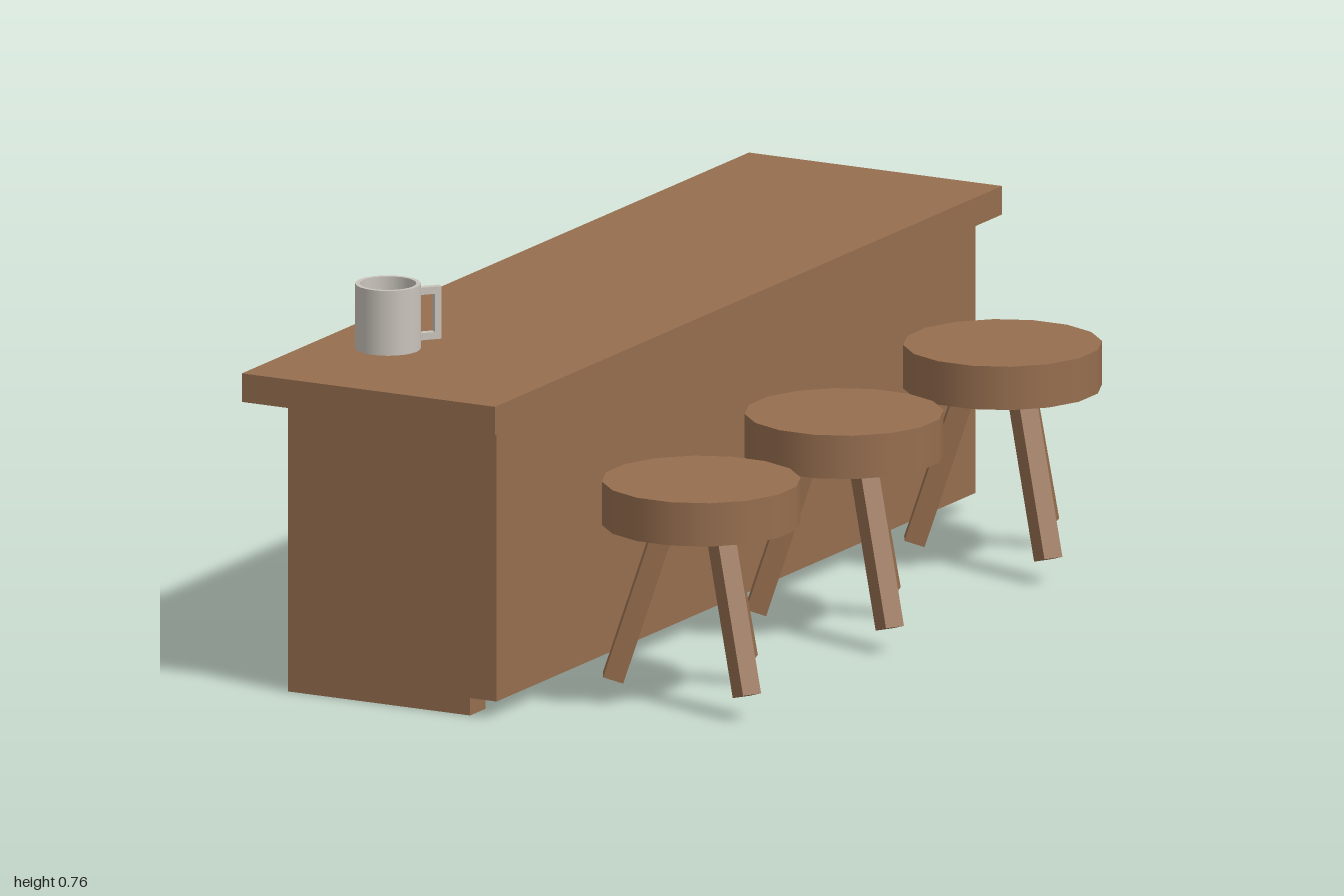
import * as THREE from 'three';

const wood = new THREE.MeshStandardMaterial({ color: 0x966e4f });
wood.name = 'wood';
const ceramic = new THREE.MeshStandardMaterial({ color: 0xc9c3bb });
ceramic.name = 'ceramic';

// Box given by its minimum and maximum corners
function box(name, min, max, material) {
  const size = max.map((v, i) => v - min[i]);
  const mesh = new THREE.Mesh(new THREE.BoxGeometry(...size), material);
  mesh.position.set(...max.map((v, i) => (v + min[i]) / 2));
  mesh.name = name;
  return mesh;
}

// Round seat on three splayed square legs
function makeStool(x, z) {
  const stool = new THREE.Group();
  stool.name = 'stool';
  const seat = new THREE.Mesh(new THREE.CylinderGeometry(0.19, 0.19, 0.085, 16), wood);
  seat.name = 'seat';
  seat.position.y = 0.393;
  seat.rotation.y = Math.PI / 16;
  stool.add(seat);

  const topR = 0.064, footR = 0.168, topY = 0.365, footY = 0.047;
  const length = Math.hypot(footR - topR, topY - footY);
  for (let i = 0; i < 3; i++) {
    const pivot = new THREE.Group();
    pivot.name = 'stoolLeg';
    pivot.rotation.y = Math.PI + (i * Math.PI * 2) / 3;
    const leg = new THREE.Mesh(new THREE.BoxGeometry(0.04, length, 0.04), wood);
    leg.name = 'leg';
    leg.position.set(0, (topY + footY) / 2, (topR + footR) / 2);
    leg.rotation.x = -Math.atan2(footR - topR, topY - footY);
    pivot.add(leg);
    stool.add(pivot);
  }
  stool.position.set(x, 0, z);
  return stool;
}

// Open cup with a square-sectioned handle
function makeMug() {
  const mug = new THREE.Group();
  mug.name = 'mug';
  const h = 0.127, r = 0.0625, inner = 0.054;
  const wall = (name, points) => {
    const mesh = new THREE.Mesh(
      new THREE.LatheGeometry(points.map(p => new THREE.Vector2(...p)), 24), ceramic);
    mesh.name = name;
    mug.add(mesh);
  };
  wall('mugBase', [[0, 0], [r, 0]]);
  wall('mugOutside', [[r, 0], [r, h]]);
  wall('mugRim', [[r, h], [inner, h]]);
  wall('mugInside', [[inner, h], [inner, 0.01]]);
  wall('mugFloor', [[inner, 0.01], [0, 0.01]]);

  const handle = new THREE.Group();
  handle.name = 'mugHandle';
  handle.add(
    box('handleTop', [0.056, 0.1, -0.007], [0.106, 0.114, 0.007], ceramic),
    box('handleBottom', [0.056, 0.011, -0.007], [0.106, 0.025, 0.007], ceramic),
    box('handleGrip', [0.092, 0.025, -0.007], [0.106, 0.1, 0.007], ceramic));
  handle.rotation.y = 0.85;
  mug.add(handle);
  mug.position.set(-0.333, 0.635, 0.714);
  return mug;
}

export function createModel() {
  const model = new THREE.Group();
  model.name = 'barCounter';
  // Counter
  model.add(
    box('counterTop', [-0.493, 0.572, -1], [0.057, 0.628, 1], wood),
    box('counterFrontPanel', [-0.03, 0.035, -0.945], [0.03, 0.572, 0.945], wood),
    box('counterNearEnd', [-0.425, 0, 0.882], [-0.029, 0.572, 0.942], wood),
    box('counterFarEnd', [-0.43, 0.028, -0.943], [-0.029, 0.572, -0.883], wood));
  // Stools
  for (const [x, z] of [[0.283, -0.592], [0.283, 0.033], [0.303, 0.633]]) {
    model.add(makeStool(x, z));
  }
  model.add(makeMug());
  return model;
}
